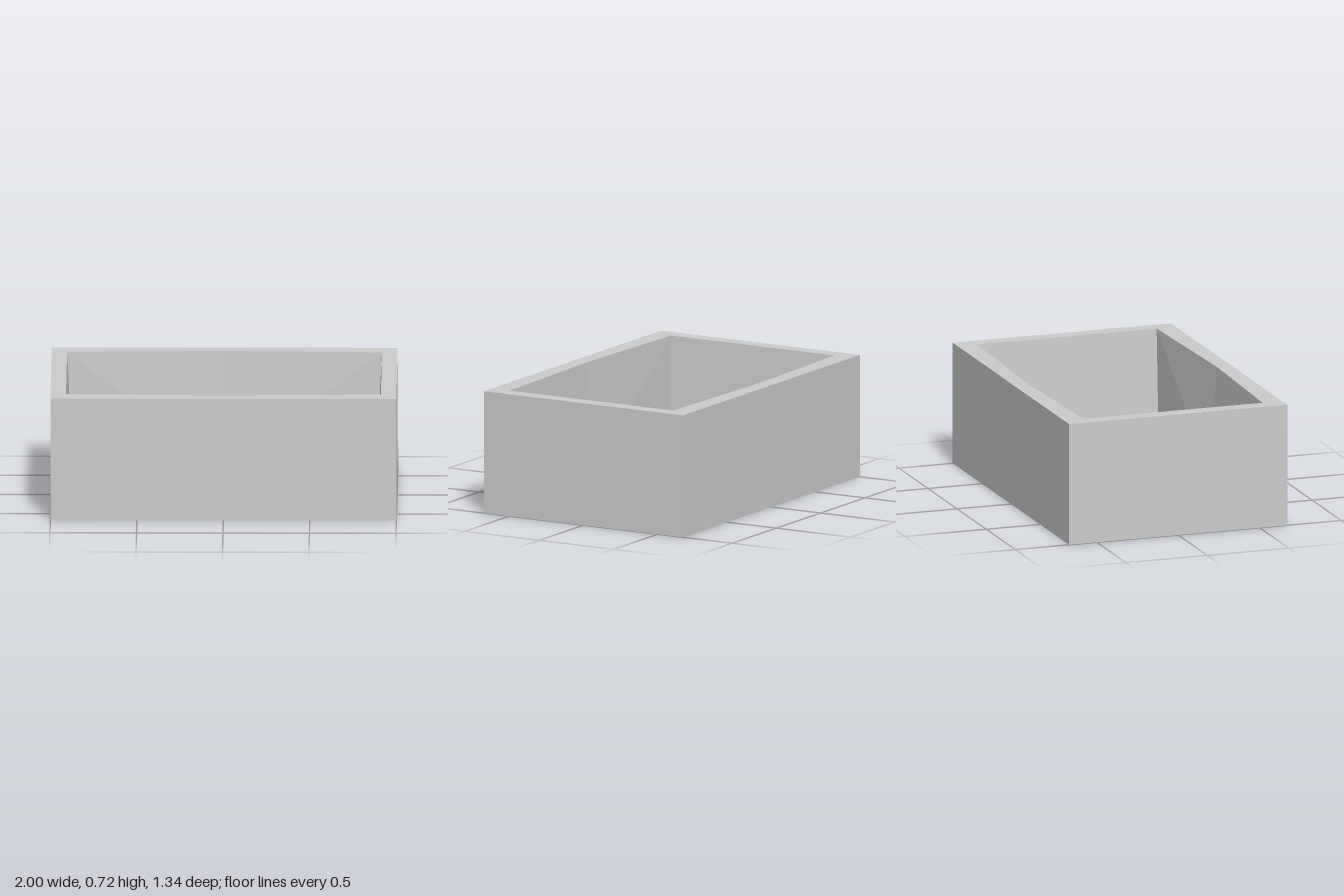
import * as THREE from 'three';

const W = 1, D = 0.67, H = 0.72, FLOOR = 0.04;

// Outlines of the cavity: the long sides bow out slightly at the rim
const ring = (x, z, bow, y) => [
  [-x, -z], [-0.03, -z - bow], [x, -z], [x, z], [-0.03, z + bow], [-x, z],
].map(([px, pz]) => [px, y, pz]);

function flatMesh(name, triangles, material) {
  const geometry = new THREE.BufferGeometry();
  geometry.setAttribute('position', new THREE.Float32BufferAttribute(triangles.flat(2), 3));
  geometry.computeVertexNormals();
  const mesh = new THREE.Mesh(geometry, material);
  mesh.name = name;
  return mesh;
}

export function createModel() {
  const group = new THREE.Group();
  group.name = 'openBox';
  const material = new THREE.MeshStandardMaterial({ color: 0xcccccc, flatShading: true });

  // Outer sides and underside
  const corners = [[-W, -D], [W, -D], [W, D], [-W, D]];
  const at = (i, y) => [corners[i % 4][0], y, corners[i % 4][1]];
  const outer = [];
  for (let i = 0; i < 4; i++) {
    const a = at(i, 0), b = at(i + 1, 0), c = at(i + 1, H), d = at(i, H);
    outer.push([a, c, b], [a, d, c]);
  }
  outer.push([at(0, 0), at(1, 0), at(2, 0)], [at(0, 0), at(2, 0), at(3, 0)]);
  group.add(flatMesh('outerShell', outer, material));

  // Tapered cavity walls, faceted towards the middle of each long side
  const top = ring(0.91, 0.55, 0.03, H);
  const bottom = ring(0.875, 0.55, 0, FLOOR);
  const walls = [], floor = [];
  for (let i = 0; i < 6; i++) {
    const j = (i + 1) % 6;
    if (i % 3 === 1) walls.push([top[i], bottom[i], top[j]], [bottom[i], bottom[j], top[j]]);
    else walls.push([top[i], bottom[i], bottom[j]], [top[i], bottom[j], top[j]]);
    if (i > 0 && i < 5) floor.push([bottom[0], bottom[j], bottom[i]]);
  }
  group.add(flatMesh('innerWalls', walls, material));
  group.add(flatMesh('innerFloor', floor, material));

  // Flat rim around the opening
  const flat = (points) => points.map(([x, z]) => new THREE.Vector2(x, -z));
  const shape = new THREE.Shape(flat(corners));
  shape.holes.push(new THREE.Path(flat(top.map(([x, , z]) => [x, z]))));
  const rim = new THREE.Mesh(new THREE.ShapeGeometry(shape).rotateX(-Math.PI / 2), material);
  rim.name = 'rim';
  rim.position.y = H;
  group.add(rim);

  return group;
}
